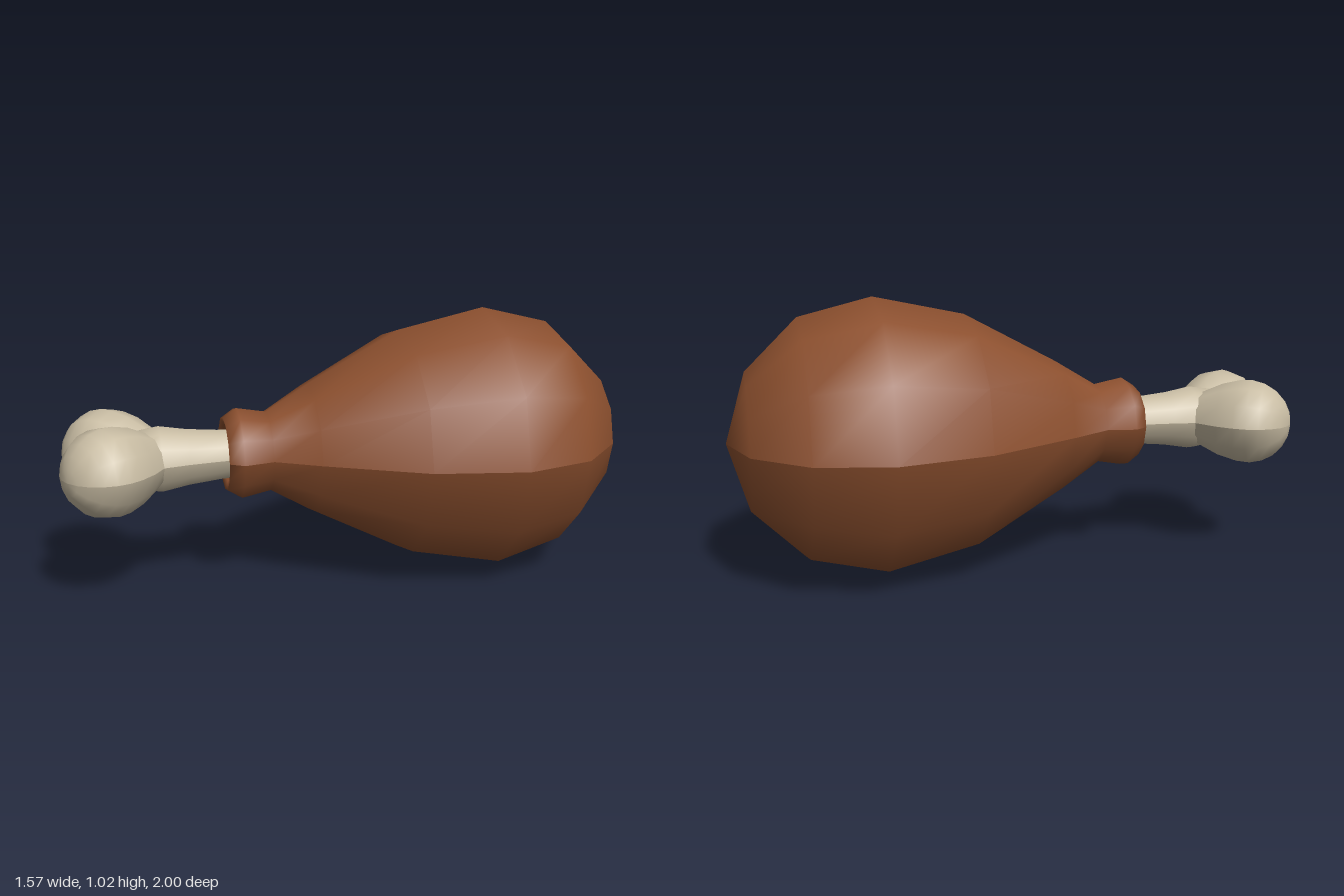
import * as THREE from 'three';
import { mergeVertices } from 'three/addons/utils/BufferGeometryUtils.js';

const CENTRE_Y = 0.513;
const AXIS_ANGLE = -0.55; // heading of the leg, from +z towards -x

// Turned part lying in the horizontal plane, made of an upper and a lower half
// so that the smooth shading keeps a crease along the middle.
// Profile points are [distance along axis, radius].
function turned(name, profile, sides, material, x, z, heading) {
  const group = new THREE.Group();
  group.name = name;
  const points = profile.map(([along, radius]) => new THREE.Vector2(radius, along));
  for (const [half, start] of [['Upper', Math.PI / 2], ['Lower', Math.PI * 1.5]]) {
    let geometry = new THREE.LatheGeometry(points, sides / 2, start, Math.PI);
    geometry.deleteAttribute('uv');
    geometry.deleteAttribute('normal');
    geometry = mergeVertices(geometry, 1e-4);
    geometry.computeVertexNormals();
    geometry.rotateX(Math.PI / 2);
    const mesh = new THREE.Mesh(geometry, material);
    mesh.name = name + half;
    group.add(mesh);
  }
  group.rotation.y = heading;
  group.position.set(x, CENTRE_Y, z);
  return group;
}

export function createModel() {
  const model = new THREE.Group();
  model.name = 'drumstick';

  const meatBrown = new THREE.MeshStandardMaterial({ color: 0x8b4f2e, side: THREE.DoubleSide });
  meatBrown.name = 'meatBrown';
  const boneCream = new THREE.MeshStandardMaterial({ color: 0xc8bca3, side: THREE.DoubleSide });
  boneCream.name = 'boneCream';

  // Meat: rounded back, taper, swollen collar and a lip folding in to the bone
  const meat = [
    [-1.075, 0], [-1.0, 0.257], [-0.81, 0.445], [-0.54, 0.512], [-0.2, 0.44],
    [0.157, 0.25], [0.318, 0.153], [0.43, 0.174], [0.482, 0.14], [0.472, 0.11], [0.4, 0.09],
  ];
  model.add(turned('meat', meat, 12, meatBrown, -0.017, -0.01, AXIS_ANGLE));

  // Bone shaft, flaring slightly towards the knobs
  const shaft = [[0.35, 0.09], [0.5, 0.095], [0.62, 0.107], [0.72, 0.125], [0.82, 0.11], [0.88, 0]];
  model.add(turned('boneShaft', shaft, 12, boneCream, -0.017, -0.01, AXIS_ANGLE));

  // Two knobs, each a ball with a tapering root reaching back into the shaft
  const R = 0.166;
  const knob = [[-0.27, 0], [-0.24, 0.08], [-0.185, 0.105], [-0.1, 0.145]];
  for (let i = 0; i <= 6; i++) {
    const a = -0.2 + (Math.PI / 2 + 0.2) * (i / 6);
    knob.push([R * Math.sin(a), i === 6 ? 0 : R * Math.cos(a)]);
  }
  const root = [-0.4, 0.6];
  for (const [name, x, z] of [['rightKnob', -0.615, 0.688], ['leftKnob', -0.395, 0.835]]) {
    model.add(turned(name, knob, 12, boneCream, x, z, Math.atan2(x - root[0], z - root[1])));
  }
  return model;
}
